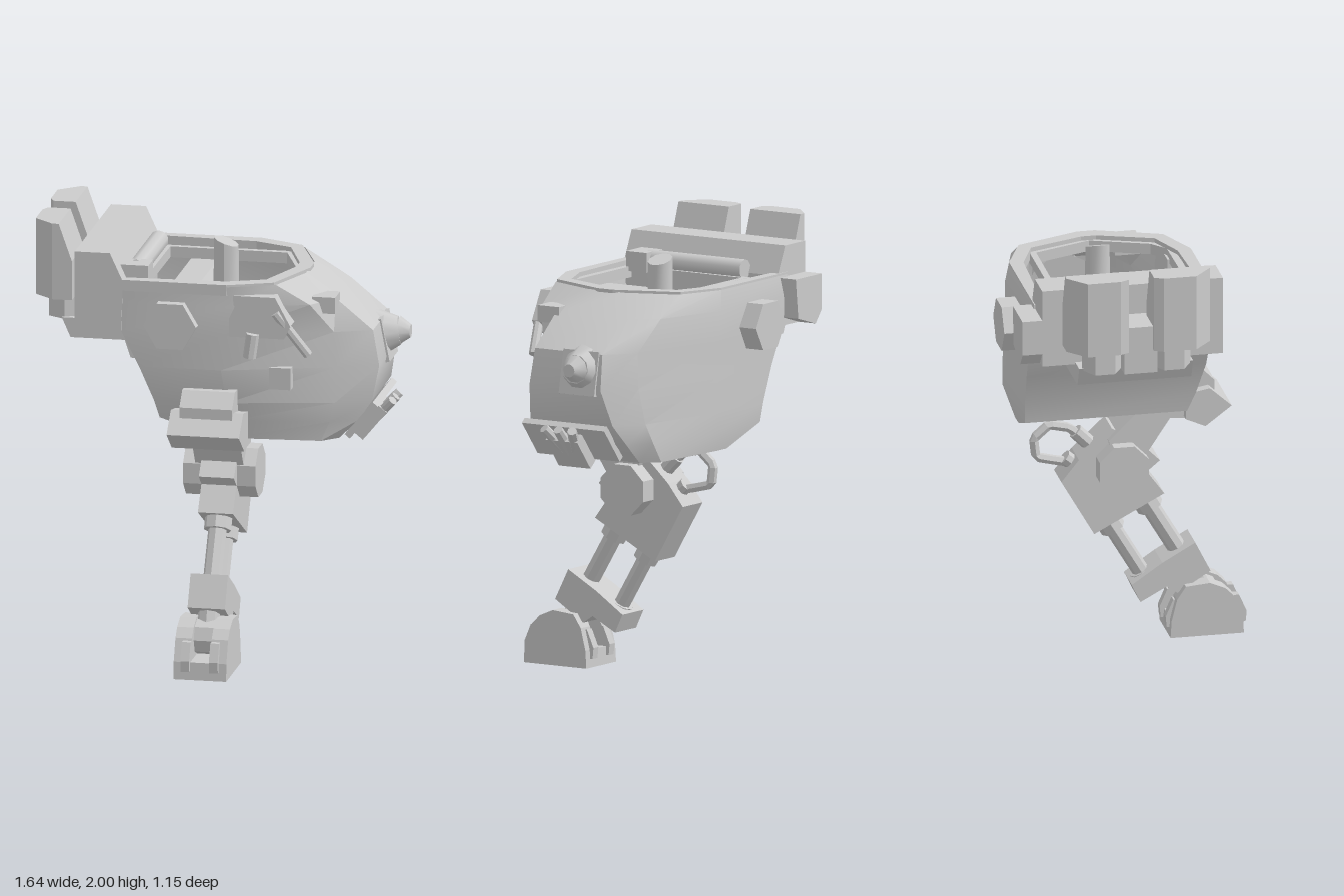
import * as THREE from 'three';
import { toCreasedNormals } from 'three/addons/utils/BufferGeometryUtils.js';

const V = (x, y, z) => new THREE.Vector3(x, y, z);
const flat = new THREE.MeshStandardMaterial({ color: 0xcccccc, flatShading: true });
const smooth = new THREE.MeshStandardMaterial({ color: 0xcccccc, side: THREE.DoubleSide });

export function createModel() {
  const model = new THREE.Group();
  const add = (name, geo, mat = flat) => {
    const m = new THREE.Mesh(geo, mat);
    m.name = name;
    model.add(m);
    return m;
  };
  // box from its min and max corners
  const box = (name, x0, x1, y0, y1, z0, z1) => {
    const m = add(name, new THREE.BoxGeometry(x1 - x0, y1 - y0, z1 - z0));
    m.position.set((x0 + x1) / 2, (y0 + y1) / 2, (z0 + z1) / 2);
    return m;
  };
  // cylinder between two points
  const rod = (name, a, b, r0, r1 = r0, sides = 8, mat = flat, twist = 0) => {
    const d = b.clone().sub(a);
    const g = new THREE.CylinderGeometry(r1, r0, d.length(), sides);
    g.rotateY(twist);
    const m = add(name, g, mat);
    m.position.copy(a).add(b).multiplyScalar(0.5);
    m.quaternion.setFromUnitVectors(V(0, 1, 0), d.normalize());
    return m;
  };
  const extrude = (pts, depth, steps = 1) => new THREE.ExtrudeGeometry(
    new THREE.Shape(pts.map(p => new THREE.Vector2(...p))), { depth, steps, bevelEnabled: false });
  // (z, y) outline extruded along x between x0 and x1
  const slab = (name, pts, x0, x1) =>
    add(name, extrude(pts, x1 - x0).rotateY(-Math.PI / 2).translate(x1, 0, 0));
  // (x, y) outline extruded along z
  const wall = (name, pts, z0, z1) => add(name, extrude(pts, z1 - z0).translate(0, 0, z0));
  // move every vertex of a geometry by a rule
  const bend = (geo, rule) => {
    const p = geo.attributes.position, v = V();
    for (let i = 0; i < p.count; i++) {
      rule(v.fromBufferAttribute(p, i));
      p.setXYZ(i, v.x, v.y, v.z);
    }
    geo.computeVertexNormals();
    return geo;
  };

  // ---- hull: rings [y, backX, shoulderX, cheekX, noseX, sideHalf, cheekHalf, noseHalf, centreZ, dent]
  // dent pulls in the left cheek under the visor
  const rings = [
    [1.77, -0.46, 0.08, 0.29, 0.38, 0.415, 0.33, 0.1, -0.06, 0],
    [1.68, -0.44, 0.10, 0.44, 0.53, 0.42, 0.32, 0.18, -0.07, 0],
    [1.54, -0.40, 0.12, 0.58, 0.70, 0.415, 0.29, 0.18, -0.07, 0.045],
    [1.38, -0.32, 0.12, 0.59, 0.73, 0.41, 0.3, 0.19, -0.07, 0.045],
    [1.22, -0.26, 0.11, 0.57, 0.70, 0.39, 0.31, 0.22, -0.085, 0.025],
    [1.13, -0.24, 0.09, 0.53, 0.64, 0.37, 0.31, 0.24, -0.1, 0.01],
    [1.04, 0.0, 0.07, 0.48, 0.55, 0.34, 0.31, 0.24, -0.11, 0]];
  const pos = [], idx = [], n = 8;
  for (const [y, b, s, c, f, hs, hc, hf, z, dent] of rings) {
    pos.push(b, y, z + hs, s - 1.5 * dent, y, z + hs, c - dent, y, z + hc - dent, f, y, z + hf);
    pos.push(f, y, z - hf, c, y, z - hc, s, y, z - hs, b, y, z - hs);
  }
  for (let r = 0; r < rings.length - 1; r++) for (let i = 0; i < n; i++) {
    const a = r * n + i, b = r * n + (i + 1) % n;
    idx.push(a, a + n, b, b, a + n, b + n);
  }
  const last = (rings.length - 1) * n;
  for (let i = 1; i < n - 1; i++) idx.push(last, last + i + 1, last + i);
  const hull = new THREE.BufferGeometry();
  hull.setAttribute('position', new THREE.Float32BufferAttribute(pos, 3));
  hull.setIndex(idx);
  add('hull', toCreasedNormals(hull, 0.42), smooth);

  // ---- cockpit rims: closed outlines with an inset hole
  const rim = (name, pts, y, w, h) => {
    const shape = new THREE.Shape(pts.map(([x, z]) => new THREE.Vector2(x, -z)));
    const cx = -0.02, cz = -0.06;
    shape.holes.push(new THREE.Path(pts.map(([x, z]) => {
      const k = 1 - w / Math.hypot(x - cx, z - cz);
      return new THREE.Vector2(cx + (x - cx) * k, -(cz + (z - cz) * k));
    })));
    const g = new THREE.ExtrudeGeometry(shape, { depth: h, bevelEnabled: false });
    add(name, g.rotateX(-Math.PI / 2).translate(0, y, 0));
  };
  rim('outerRim', [[-0.46, 0.355], [0.08, 0.355], [0.28, 0.27], [0.39, -0.02],
    [0.39, -0.1], [0.28, -0.39], [0.08, -0.475], [-0.46, -0.475]], 1.73, 0.065, 0.05);
  rim('innerRim', [[-0.34, 0.295], [0.17, 0.295], [0.25, 0.23], [0.36, -0.06],
    [0.25, -0.35], [-0.34, -0.35]], 1.71, 0.04, 0.05);

  // ---- cockpit interior
  rod('crossAxle', V(-0.17, 1.585, -0.575), V(-0.17, 1.585, 0.395), 0.12, 0.12, 6, flat, Math.PI / 6);
  rod('rearRoll', V(-0.36, 1.79, -0.31), V(-0.36, 1.79, 0.2), 0.045, 0.045, 10, smooth);
  box('rollBracket', -0.42, -0.29, 1.74, 1.83, 0.17, 0.28);
  slab('seatBlock', [[-0.26, 1.25], [0.22, 1.25], [0.22, 1.5], [0.09, 1.6], [-0.2, 1.6], [-0.26, 1.5]], -0.08, 0.1);
  // periscope with a slanted top
  add('periscope', bend(new THREE.CylinderGeometry(0.055, 0.06, 0.34, 10).translate(-0.008, 1.69, -0.09),
    v => { if (v.y > 1.8) v.y -= 0.35 * v.x; }), smooth);
  box('controlPanel', 0.13, 0.17, 1.45, 1.55, -0.15, -0.03);

  // ---- rear wall and its blocks
  wall('rearWall', [[-0.61, 1.54], [-0.4, 1.54], [-0.39, 1.77], [-0.45, 1.9], [-0.61, 1.9]], -0.47, 0.355);
  wall('rearKeel', [[-0.66, 1.46], [-0.36, 1.46], [-0.36, 1.55], [-0.7, 1.55]], -0.32, 0.2);
  wall('rearStep', [[-0.4, 1.36], [-0.3, 1.36], [-0.3, 1.48], [-0.44, 1.48]], -0.25, 0.13);
  wall('sidePod', [[-0.61, 1.6], [-0.56, 1.54], [-0.42, 1.58], [-0.4, 1.76], [-0.61, 1.76]], -0.56, -0.46);
  box('boosterLink', -0.78, -0.6, 1.54, 1.76, -0.13, 0.02);

  // ---- boosters: plan outlines raised, then leaned back above the middle level
  for (const [s, z] of [[1, 0], [-1, -0.115]]) {
    const plan = [[-0.8, 0], [-0.82, 0.04], [-0.82, 0.19], [-0.73, 0.27], [-0.64, 0.27], [-0.64, 0]];
    const g = extrude(plan.map(([x, d]) => [x, -(z + s * d)]), 0.35, 2);
    g.rotateX(-Math.PI / 2).translate(0, 1.65, 0);
    add('booster', bend(g, v => {
      if (v.y > 1.9) v.x = Math.min(v.x, -0.7);
      else if (v.y > 1.7) v.y = 1.83;
    }));
    rod('boosterNozzle', V(-0.69, 1.54, z + s * 0.1), V(-0.69, 1.78, z + s * 0.1), 0.09, 0.09, 6);
  }

  // ---- nose sensor, brow and side fittings
  const plate = box('nosePlate', -0.015, 0.015, -0.1, 0.1, -0.095, 0.095);
  plate.position.set(0.71, 1.45, -0.14);
  plate.rotation.z = 0.2;
  rod('noseCone', V(0.58, 1.45, -0.13), V(0.77, 1.475, -0.15), 0.16, 0.065, 10, smooth);
  rod('noseTip', V(0.77, 1.475, -0.15), V(0.82, 1.475, -0.15), 0.065, 0.03, 10, smooth);
  box('browLamp', 0.44, 0.545, 1.63, 1.705, 0.085, 0.2);
  box('sideLamp', 0.26, 0.36, 1.29, 1.39, 0.18, 0.285);
  wall('sideVisor', [[0.09, 1.54], [0.34, 1.54], [0.37, 1.6], [0.3, 1.73], [0.09, 1.73]], 0.25, 0.345);
  rod('visorStrut', V(0.2, 1.56, 0.35), V(0.185, 1.45, 0.35), 0.03);
  rod('visorStrut', V(0.3, 1.66, 0.34), V(0.44, 1.46, 0.29), 0.022);

  // ---- chin plate with three short barrels
  const chin = new THREE.Group();
  chin.name = 'chinGun';
  model.add(chin);
  chin.position.set(0.66, 1.13, -0.06);
  chin.rotation.z = 0.88;
  chin.add(box('chinStrip', -0.1, 0.1, -0.01, 0.02, -0.22, 0.22));
  chin.add(box('chinPlate', -0.11, 0.06, -0.06, 0.0, -0.085, 0.085));
  for (const k of [-1, 0, 1])
    chin.add(rod('barrel', V(-0.03, -0.035, k * 0.03), V(0.12, -0.045, k * 0.075), 0.026, 0.022));

  // ---- hip
  box('hipMount', 0.03, 0.13, 1.2, 1.4, 0.18, 0.285);
  rod('hipDrum', V(-0.12, 1.175, 0.31), V(0.12, 1.175, 0.31), 0.12, 0.12, 8, flat, Math.PI / 8);
  slab('hipBlock', [[0.49, 1.11], [0.39, 1.2], [0.28, 1.18], [0.28, 1.06], [0.37, 1.02]], -0.165, 0.165);
  slab('thigh', [[0.35, 1.04], [0.22, 1.05], [0.1, 0.87], [0, 0.8], [-0.06, 0.96], [0.22, 1.24], [0.33, 1.22]], -0.11, 0.11);

  // ---- knee
  rod('kneeDrum', V(-0.165, 0.835, 0), V(0.165, 0.835, 0), 0.122, 0.122, 8, flat, Math.PI / 8);
  slab('kneeHousing', [[-0.04, 1.01], [-0.19, 0.87], [-0.27, 0.77], [-0.12, 0.51],
    [0.2, 0.68], [0.12, 0.79], [0.18, 0.84], [0.1, 0.92]], -0.08, 0.08);
  const hose = [[0.93, -0.14], [1.0, -0.22], [1.02, -0.31], [0.96, -0.38],
    [0.87, -0.37], [0.85, -0.29], [0.83, -0.2]];
  const path = new THREE.CurvePath();
  hose.slice(1).forEach(([y, z], i) =>
    path.add(new THREE.LineCurve3(V(0, hose[i][0], hose[i][1]), V(0, y, z))));
  add('kneeHose', new THREE.TubeGeometry(path, 24, 0.022, 6));
  rod('hoseFitting', V(0, 0.91, -0.12), V(0, 0.98, -0.19), 0.035);
  rod('hoseFitting', V(0, 0.8, -0.17), V(0, 0.86, -0.24), 0.035);

  // ---- shin pistons
  for (const [y, z, r] of [[0.63, 0.13, 0.042], [0.54, -0.04, 0.038]]) {
    const at = t => V(0, y - 0.28 * t, z + 0.165 * t);
    rod('piston', at(-0.2), at(1.2), r);
    rod('pistonCollar', at(-0.1), at(0.14), r + 0.02);
    rod('pistonCollar', at(0.88), at(1.1), r + 0.015);
  }

  // ---- ankle
  slab('ankleBlock', [[0.34, 0.435], [0.19, 0.35], [0.05, 0.255], [0.09, 0.17],
    [0.21, 0.235], [0.26, 0.2], [0.41, 0.295]], -0.085, 0.085);
  rod('ankleLink', V(0, 0.3, 0.33), V(0, 0.15, 0.39), 0.05);
  rod('ankleDrum', V(-0.06, 0.16, 0.39), V(0.06, 0.16, 0.39), 0.08);

  // ---- foot: sole, two cheeks with a slot between them, and small end lugs
  const foot = [[0.555, 0], [0.55, 0.08], [0.51, 0.18], [0.47, 0.22], [0.4, 0.25],
    [0.29, 0.24], [0.25, 0.18], [0.225, 0.08], [0.22, 0]];
  const lug = [[0.57, 0.04], [0.575, 0.09], [0.54, 0.17], [0.24, 0.17], [0.205, 0.09], [0.21, 0.04]];
  for (const s of [-1, 1]) {
    slab('footCheek', foot, s > 0 ? 0.045 : -0.12, s > 0 ? 0.12 : -0.045);
    slab('footLug', lug, s > 0 ? 0.045 : -0.085, s > 0 ? 0.085 : -0.045);
  }
  slab('sole', [[0.555, 0], [0.55, 0.08], [0.225, 0.08], [0.22, 0]], -0.045, 0.045);
  return model;
}
